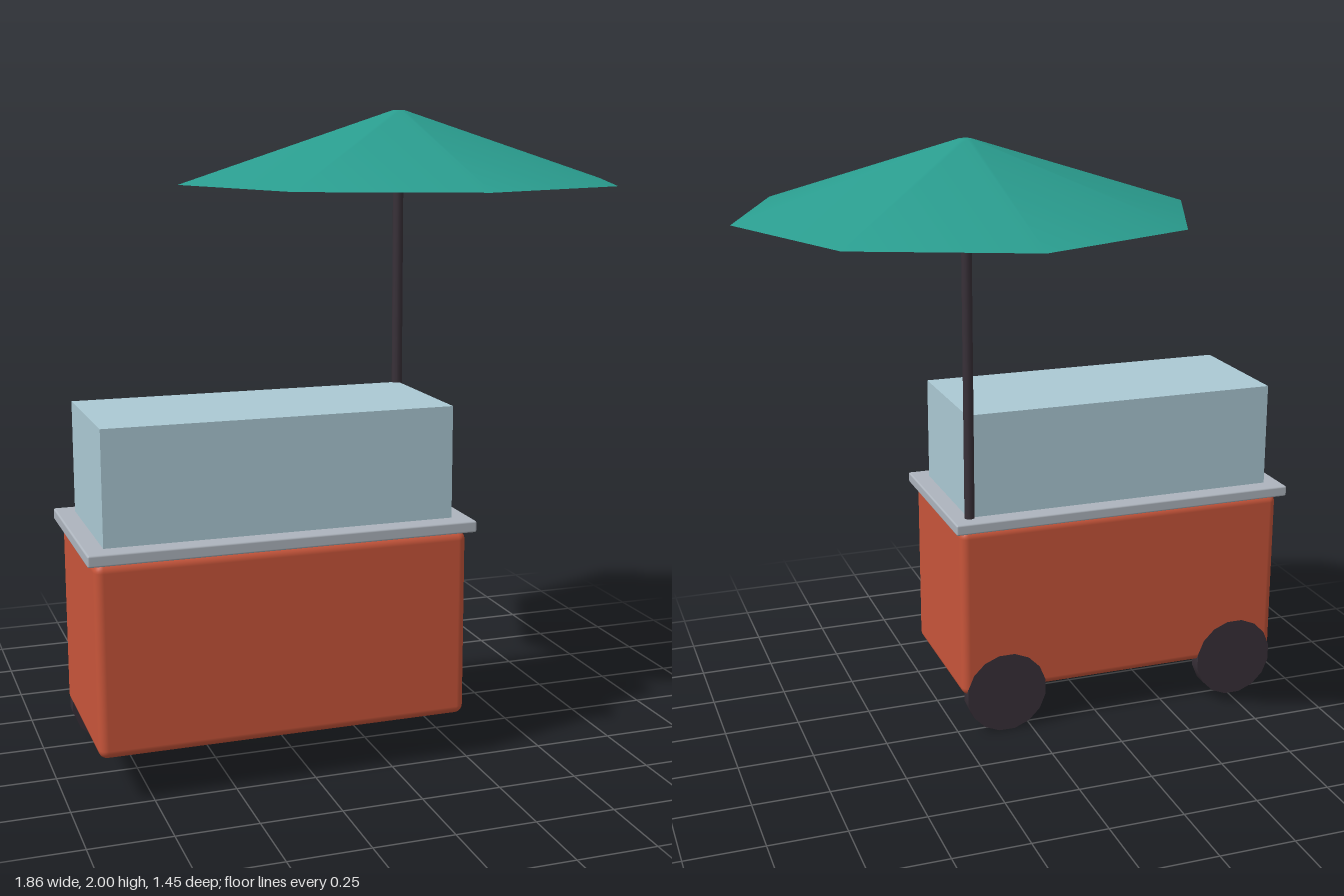
import * as THREE from 'three';
import { RoundedBoxGeometry } from 'three/addons/geometries/RoundedBoxGeometry.js';

function flat(name, color) {
  const m = new THREE.MeshStandardMaterial({ color });
  m.name = name;
  return m;
}

export function createModel() {
  const group = new THREE.Group();
  group.name = 'vendorCart';

  const orange = flat('orange paint', 0xc8553a);
  const grey = flat('grey counter', 0xadb4bd);
  const glass = flat('pale blue', 0xabc9d4);
  const dark = flat('dark rubber', 0x383038);
  const green = flat('green canvas', 0x2a9d8f);

  function add(name, geometry, material, x, y, z) {
    const mesh = new THREE.Mesh(geometry, material);
    mesh.name = name;
    mesh.position.set(x, y, z);
    group.add(mesh);
    return mesh;
  }

  // Cart body, counter slab and display case
  add('cartBody', new RoundedBoxGeometry(1.15, 0.59, 0.54, 3, 0.027), orange, -0.335, 0.44, 0.233);
  add('counter', new RoundedBoxGeometry(1.195, 0.036, 0.585, 2, 0.006), grey, -0.335, 0.753, 0.231);
  add('displayCase', new THREE.BoxGeometry(1.08, 0.35, 0.46), glass, -0.335, 0.945, 0.23);

  // Two wheels set into the back of the body
  for (const [name, x] of [['leftWheel', 0.085], ['rightWheel', -0.765]]) {
    const tyre = new THREE.CylinderGeometry(0.141, 0.141, 0.046, 16);
    tyre.rotateY(Math.PI / 16);
    tyre.rotateX(Math.PI / 2);
    add(name, tyre, dark, x, 0.139, -0.0145);
  }

  // Umbrella: pole and closed eight-sided canopy
  add('umbrellaPole', new THREE.CylinderGeometry(0.017, 0.017, 1.1, 12), dark, 0.2, 1.3, 0);
  add('umbrellaCanopy', new THREE.CylinderGeometry(0.02, 0.727, 0.225, 8), green, 0.2, 1.8875, 0);

  return group;
}
